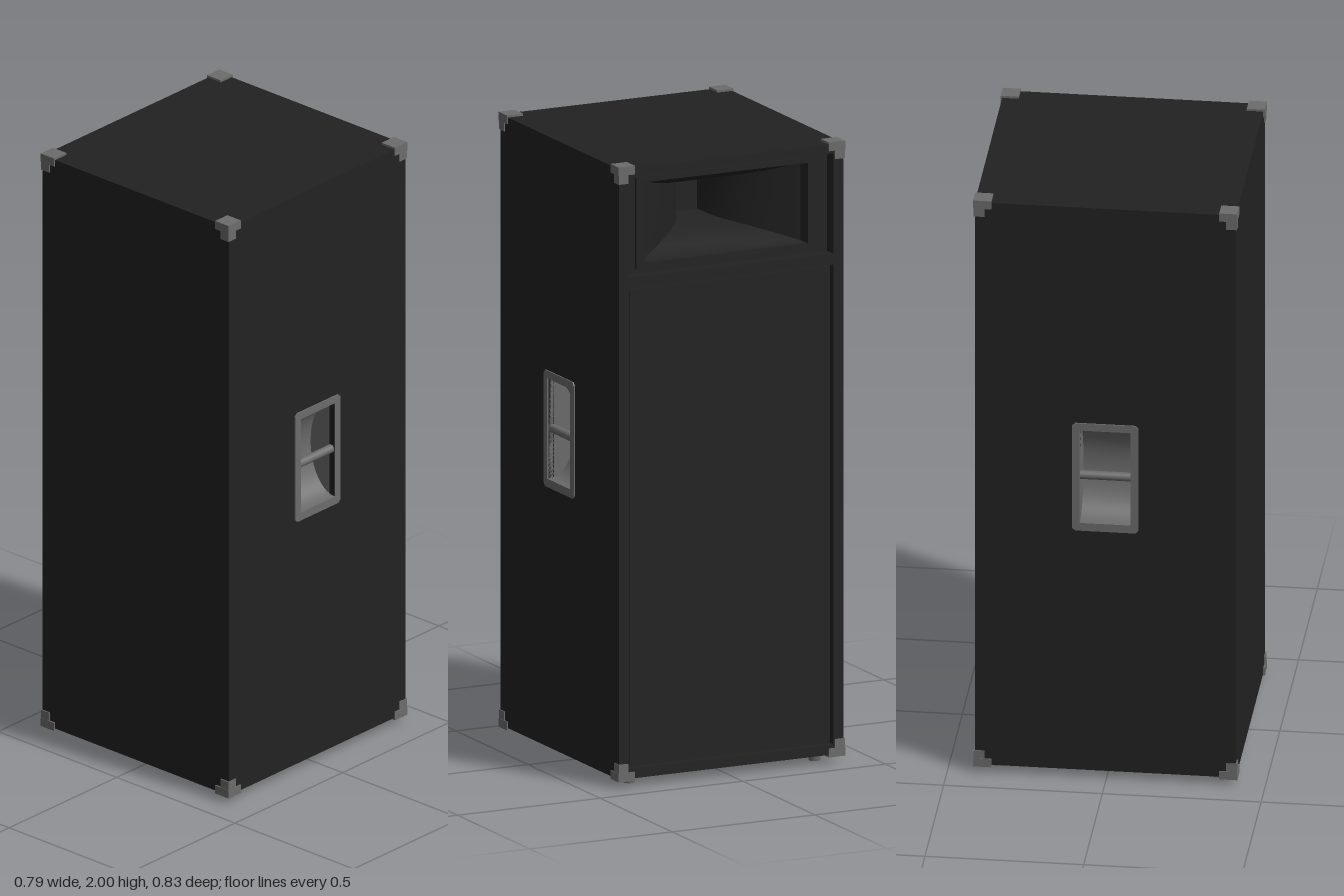
import * as THREE from 'three';
import { toCreasedNormals } from 'three/addons/utils/BufferGeometryUtils.js';

const HX = 0.393, HZ = 0.411, Y0 = 0.028, Y1 = 1.993, T = 0.02;
const MID = (Y0 + Y1) / 2, IX = HX - T;

// Rectangle with optional cut corners, as a Shape
function rect(x0, x1, y0, y1, c = 0) {
  const p = c
    ? [[x0 + c, y0], [x1 - c, y0], [x1, y0 + c], [x1, y1 - c], [x1 - c, y1], [x0 + c, y1], [x0, y1 - c], [x0, y0 + c]]
    : [[x0, y0], [x1, y0], [x1, y1], [x0, y1]];
  return new THREE.Shape(p.map(([x, y]) => new THREE.Vector2(x, y)));
}

// Flat plate with holes, lying between z and z + depth
function plate(shape, holes, z, depth) {
  shape.holes.push(...holes);
  return new THREE.ExtrudeGeometry(shape, { depth, bevelEnabled: false }).translate(0, 0, z);
}

// Cavity seen from +z, from rectangles [half width, half height, depth]
function cavity(rings, crease) {
  const pos = [];
  const corner = ([w, h, d], j) => [[-w, -h, -d], [w, -h, -d], [w, h, -d], [-w, h, -d]][j % 4];
  for (let i = 0; i < rings.length - 1; i++) {
    for (let j = 0; j < 4; j++) {
      const a = corner(rings[i], j), b = corner(rings[i], j + 1);
      const c = corner(rings[i + 1], j), d = corner(rings[i + 1], j + 1);
      pos.push(...a, ...b, ...c, ...b, ...d, ...c);
    }
  }
  const end = rings[rings.length - 1];
  for (const j of [0, 1, 2, 0, 2, 3]) pos.push(...corner(end, j));
  const g = new THREE.BufferGeometry();
  g.setAttribute('position', new THREE.Float32BufferAttribute(pos, 3));
  return toCreasedNormals(g, crease);
}

export function createModel() {
  const black = new THREE.MeshStandardMaterial({ color: 0x222222 });
  black.name = 'cabinet black';
  const grey = new THREE.MeshStandardMaterial({ color: 0x6c6c6c });
  grey.name = 'hardware grey';

  const model = new THREE.Group();
  model.name = 'speakerCabinet';
  model.position.set(-0.003, 0, -0.003);

  const add = (parent, name, geometry, material, x = 0, y = 0, z = 0) => {
    const m = new THREE.Mesh(geometry, material);
    m.name = name;
    m.position.set(x, y, z);
    parent.add(m);
    return m;
  };
  const box = (w, h, d) => new THREE.BoxGeometry(w, h, d);

  // Cabinet shell
  add(model, 'topPanel', box(2 * IX, T, 2 * HZ), black, 0, Y1 - T / 2, 0);
  add(model, 'bottomPanel', box(2 * IX, T, 2 * HZ), black, 0, Y0 + T / 2, 0);
  add(model, 'plainPanel', box(2 * IX, Y1 - Y0 - 2 * T, T), black, 0, MID, HZ - T / 2);

  // Side walls with recessed handles
  const opening = () => rect(-0.08, 0.08, 0.892, 1.215);
  const pocket = [];
  for (let i = 0; i <= 10; i++) {
    const t = i / 10 * 1.5;
    pocket.push([0.08, 0.1615 * Math.cos(t), 0.1 * Math.sin(t)]);
  }
  for (const s of [1, -1]) {
    const side = new THREE.Group();
    side.name = s > 0 ? 'leftSide' : 'rightSide';
    side.rotation.y = s * Math.PI / 2;
    model.add(side);
    add(side, 'sidePanel', plate(rect(-HZ, HZ, Y0, Y1), [opening()], HX - T, T), black);
    add(side, 'handlePlate', plate(rect(-0.105, 0.105, 0.865, 1.24, 0.01), [opening()], HX, 0.004), grey);
    add(side, 'handlePocket', cavity(pocket, 0.5), grey, 0, 1.0535, HX);
    const bar = new THREE.CylinderGeometry(0.014, 0.014, 0.16, 16).rotateZ(Math.PI / 2);
    add(side, 'handleBar', bar, grey, 0, 1.053, HX - 0.014);
  }

  // Speaker face
  const face = new THREE.Group();
  face.name = 'speakerFace';
  face.rotation.y = Math.PI;
  model.add(face);
  add(face, 'faceRim', plate(rect(-IX, IX, Y0 + T, Y1 - T),
    [rect(-0.358, 0.358, 0.06, 1.605), rect(-0.358, 0.358, 1.64, 1.963)], HZ - 0.05, 0.05), black);
  add(face, 'grille', box(0.7, 1.53, 0.03), black, 0, 0.8325, HZ - 0.027);
  add(face, 'grilleBacking', box(0.716, 1.545, 0.01), black, 0, 0.8325, HZ - 0.03);

  // Horn with its mounting plate and lip
  const hornY = 1.803;
  add(face, 'hornPlate', plate(rect(-0.358, 0.358, 1.64, 1.963),
    [rect(-0.285, 0.285, hornY - 0.13, hornY + 0.13)], HZ - 0.06, 0.015), black);
  add(face, 'hornLip', plate(rect(-0.315, 0.315, hornY - 0.147, hornY + 0.147),
    [rect(-0.285, 0.285, hornY - 0.13, hornY + 0.13)], HZ - 0.045, 0.012), black);
  add(face, 'hornFlare', cavity([[0.285, 0.13, 0], [0.275, 0.125, 0.02], [0.2, 0.1, 0.07], [0.13, 0.08, 0.13],
    [0.07, 0.065, 0.2], [0.045, 0.055, 0.28]], 0.5), black, 0, hornY, HZ - 0.045);

  // Corner protectors: a square cap with a narrower leg along the upright edge
  for (const sx of [1, -1]) for (const sz of [1, -1]) {
    for (const top of [true, false]) {
      const corner = new THREE.Group();
      corner.name = 'cornerProtector';
      corner.position.set(sx * 0.397, top ? 2 : 0.021, sz * 0.416);
      model.add(corner);
      const dy = top ? -1 : 1;
      add(corner, 'cornerCap', box(0.057, 0.028, 0.057), grey, -sx * 0.0285, dy * 0.014, -sz * 0.0285);
      add(corner, 'cornerLeg', box(0.034, 0.03, 0.034), grey, -sx * 0.018, dy * 0.041, -sz * 0.018);
    }
    // Feet
    add(model, 'foot', new THREE.CylinderGeometry(0.022, 0.018, 0.03, 16), grey, sx * 0.325, 0.015, sz * 0.345);
  }
  return model;
}
